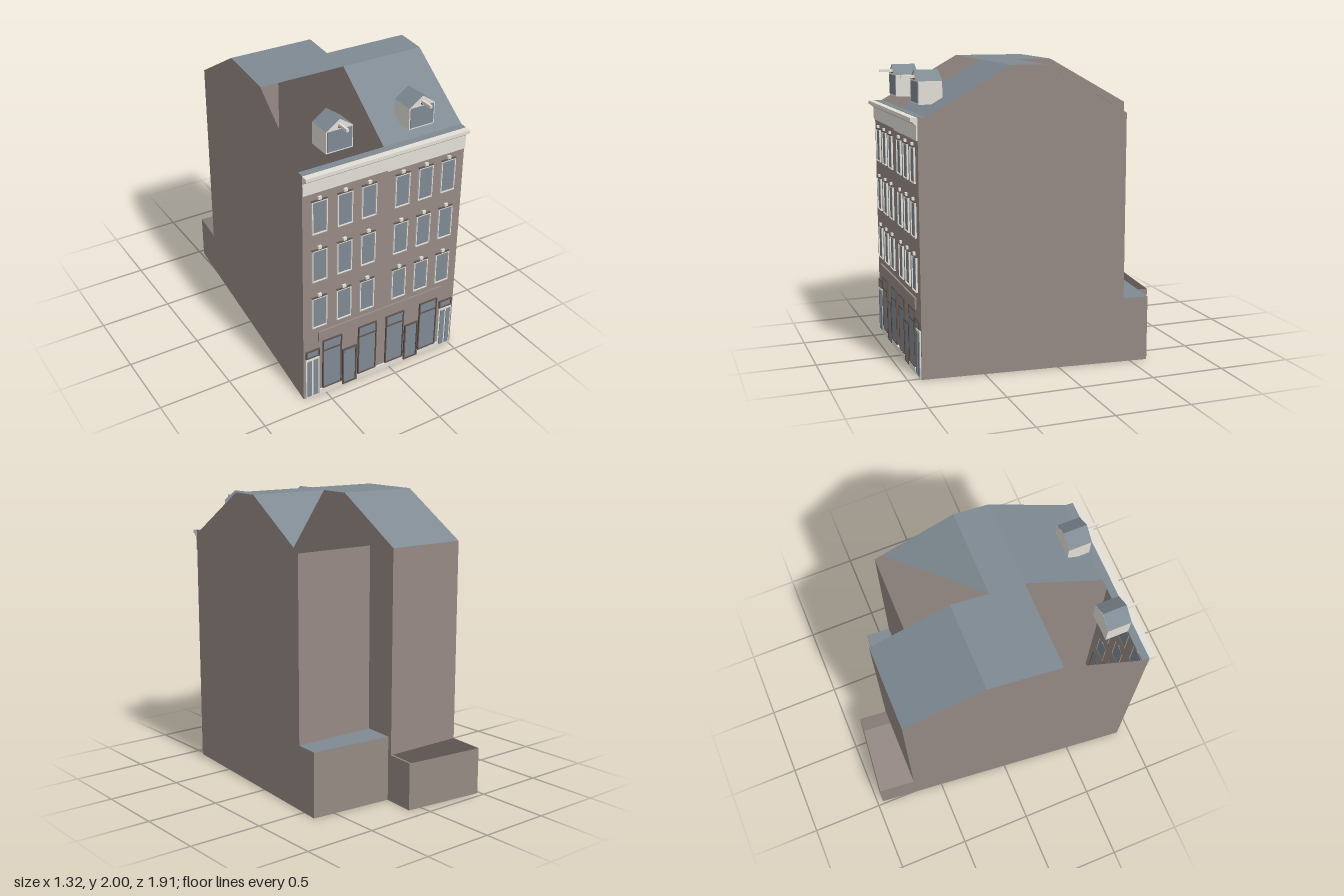
import * as THREE from 'three';

const mat = (name, color) => new THREE.MeshStandardMaterial({ name, color, side: THREE.DoubleSide });

export function createModel() {
  const root = new THREE.Group();
  root.name = 'terracedHouses';
  const brick = mat('brick', 0x968a84);
  const slate = mat('slateAndGlass', 0x7f8a93);
  const cream = mat('creamTrim', 0xe2dfd7);
  const dark = mat('darkTrim', 0x5f534d);
  const FRONT = 0.91;

  // flat polygons, each a convex loop of [x, y, z] corners
  function faces(parent, name, material, polys) {
    const pos = [];
    for (const p of polys)
      for (let i = 1; i < p.length - 1; i++) pos.push(...p[0], ...p[i], ...p[i + 1]);
    const g = new THREE.BufferGeometry();
    g.setAttribute('position', new THREE.Float32BufferAttribute(pos, 3));
    g.computeVertexNormals();
    const m = new THREE.Mesh(g, material);
    m.name = name;
    parent.add(m);
  }

  // box given by its limits
  function box(parent, name, material, x0, x1, y0, y1, z0, z1) {
    const m = new THREE.Mesh(new THREE.BoxGeometry(x1 - x0, y1 - y0, z1 - z0), material);
    m.position.set((x0 + x1) / 2, (y0 + y1) / 2, (z0 + z1) / 2);
    m.name = name;
    parent.add(m);
  }

  // rectangular border around an opening
  function frame(parent, name, material, x0, x1, y0, y1, t, depth) {
    const s = new THREE.Shape([[x0, y0], [x1, y0], [x1, y1], [x0, y1]].map(p => new THREE.Vector2(...p)));
    s.holes.push(new THREE.Path([[x0 + t, y0 + t], [x0 + t, y1 - t], [x1 - t, y1 - t], [x1 - t, y0 + t]]
      .map(p => new THREE.Vector2(...p))));
    const m = new THREE.Mesh(new THREE.ExtrudeGeometry(s, { depth, bevelEnabled: false }), material);
    m.position.z = FRONT;
    m.name = name;
    parent.add(m);
  }

  // pane with a border
  function pane(parent, name, trim, x0, x1, y0, y1, t = 0.007) {
    box(parent, name + 'Glass', slate, x0 + t, x1 - t, y0 + t, y1 - t, FRONT, FRONT + 0.005);
    frame(parent, name + 'Frame', trim, x0, x1, y0, y1, t, 0.012);
  }

  // slanted side lines of the plots
  const line = (x, k) => z => x + (FRONT - z) * k;
  const outerLeft = line(-0.663, 0.098), party = line(-0.065, 0.088), outerRight = line(0.523, 0.088);

  const houses = [
    { name: 'leftHouse', L: outerLeft, R: party, ridge: -0.16, back: -0.70, eave: 1.69,
      annexY: 0.32, annexL: -0.96, annexR: -0.90, mirror: 1,
      cols: [-0.547, -0.367, -0.193], dormer: -0.368 },
    { name: 'rightHouse', L: party, R: outerRight, ridge: 0.09, back: -0.45, eave: 1.68,
      annexY: 0.44, annexL: -0.67, annexR: -0.62, mirror: -1,
      cols: [0.053, 0.228, 0.402], dormer: 0.225 },
  ];

  for (const h of houses) {
    const g = new THREE.Group();
    g.name = h.name;
    root.add(g);
    const l = (y, z) => [h.L(z), y, z], r = (y, z) => [h.R(z), y, z];
    const strip = (y0, z0, y1, z1) => [l(y0, z0), r(y0, z0), r(y1, z1), l(y1, z1)];

    // gable walls with the annex sides, front, back and floor
    const side = (p, end) => [
      [p(0, FRONT), p(0, h.back), p(h.eave, h.back), p(2, h.ridge), p(2, 0.32), p(1.69, 0.86), p(1.69, FRONT)],
      [p(0, h.back), p(0, end), p(h.annexY, end), p(h.annexY, h.back)]];
    faces(g, 'brickShell', brick, [
      ...side(l, h.annexL), ...side(r, h.annexR),
      strip(0, FRONT, 1.69, FRONT),
      strip(h.annexY, h.back, h.eave, h.back),
      [l(0, h.annexL), r(0, h.annexR), r(h.annexY, h.annexR), l(h.annexY, h.annexL)],
      [l(0, FRONT), r(0, FRONT), r(0, h.annexR), l(0, h.annexL)],
    ]);

    // roof planes; the left front and part of the right back stay open
    const roof = [strip(1.69, FRONT, 1.69, 0.86), strip(2, 0.32, 2, h.ridge)];
    if (h.mirror === 1) roof.push(strip(2, h.ridge, h.eave, h.back));
    else roof.push(
      strip(1.69, 0.86, 2, 0.32),
      [l(2, h.ridge), r(2, h.ridge), r(1.71, -0.40)],
      [l(h.annexY, h.back), r(h.annexY, h.back), r(h.annexY, h.annexR), l(h.annexY, h.annexL)]);
    faces(g, 'roof', slate, roof);

    // cornice and frieze
    const x0 = h.L(FRONT), x1 = h.R(FRONT);
    const profile = new THREE.Shape([[0.91, 1.64], [0.922, 1.64], [0.945, 1.662], [0.955, 1.665],
      [0.955, 1.688], [0.91, 1.688]].map(p => new THREE.Vector2(...p)));
    const cg = new THREE.ExtrudeGeometry(profile, { depth: x1 - x0, bevelEnabled: false });
    cg.rotateY(-Math.PI / 2).translate(x1, 0, 0);
    const cornice = new THREE.Mesh(cg, cream);
    cornice.name = 'cornice';
    g.add(cornice);
    box(g, 'frieze', cream, x0, x1, h.mirror === 1 ? 1.555 : 1.545, 1.64, FRONT, FRONT + 0.01);

    // upper windows with keystones
    for (const y of [0.56, 0.915, 1.265])
      for (const x of h.cols) {
        pane(g, 'window', cream, x - 0.054, x + 0.054, y, y + 0.23);
        box(g, 'lintel', dark, x - 0.054, x + 0.054, y + 0.23, y + 0.236, FRONT, FRONT + 0.012);
        box(g, 'keystone', cream, x - 0.012, x + 0.012, y + 0.238, y + 0.258, FRONT, FRONT + 0.015);
      }

    // shopfront, mirrored about the party wall
    const mx = (a, b) => {
      const f = x => h.mirror === 1 ? x : -0.14 - x;
      return [Math.min(f(a), f(b)), Math.max(f(a), f(b))];
    };
    box(g, 'shopFascia', brick, ...mx(-0.555, -0.07), 0.44, 0.515, FRONT, FRONT + 0.012);
    for (const [a, b] of [[-0.522, -0.378], [-0.25, -0.108]]) {
      pane(g, 'shopWindow', dark, ...mx(a, b), 0.04, 0.43);
      box(g, 'shopTransom', dark, ...mx(a, b), 0.345, 0.353, FRONT, FRONT + 0.012);
    }
    pane(g, 'shopDoor', dark, ...mx(-0.37, -0.262), 0.005, 0.295, 0.009);
    for (const [a, b] of [[-0.545, -0.375], [-0.255, -0.07]])
      box(g, 'plinth', cream, ...mx(a, b), 0, 0.038, FRONT, FRONT + 0.012);

    // side entrance with double panels and a fanlight
    box(g, 'entranceDoor', cream, ...mx(-0.648, -0.547), 0, 0.318, FRONT, FRONT + 0.008);
    for (const [a, b] of [[-0.638, -0.606], [-0.594, -0.557]])
      box(g, 'entrancePanel', slate, ...mx(a, b), 0.015, 0.305, FRONT, FRONT + 0.012);
    pane(g, 'fanlight', dark, ...mx(-0.648, -0.545), 0.328, 0.385);

    // dormer with gable roof and hoisting beam
    const d = new THREE.Group();
    d.name = 'dormer';
    d.position.x = h.dormer;
    g.add(d);
    const w = 0.094, zf = 0.85, zb = 0.69, yb = 1.745, ye = 1.893, yt = 1.96;
    const gable = z => [[-w, yb, z], [w, yb, z], [w, ye, z], [0, yt - 0.004, z], [-w, ye, z]];
    faces(d, 'dormerWalls', cream, [gable(zf - 0.004), gable(zb).reverse(),
      ...[-w, w].map(x => [[x, yb, zf - 0.004], [x, yb, zb], [x, ye, zb], [x, ye, zf - 0.004]]),
      [[-w, yb, zb], [w, yb, zb], [w, yb, zf - 0.004], [-w, yb, zf - 0.004]]]);
    faces(d, 'dormerRoof', slate, [-1, 1].map(s =>
      [[0, yt, zf], [s * (w + 0.002), ye, zf], [s * (w + 0.002), ye, zb], [0, yt, zb]]));
    box(d, 'dormerWindow', slate, -w + 0.008, w - 0.008, 1.755, 1.888, zf - 0.005, zf);
    box(d, 'hoistingBeam', cream, -0.008, 0.008, 1.908, 1.926, zf - 0.01, 0.935);
    box(d, 'beamBracket', dark, -0.01, 0.01, 1.9, 1.908, zf - 0.005, zf + 0.005);
  }
  return root;
}
